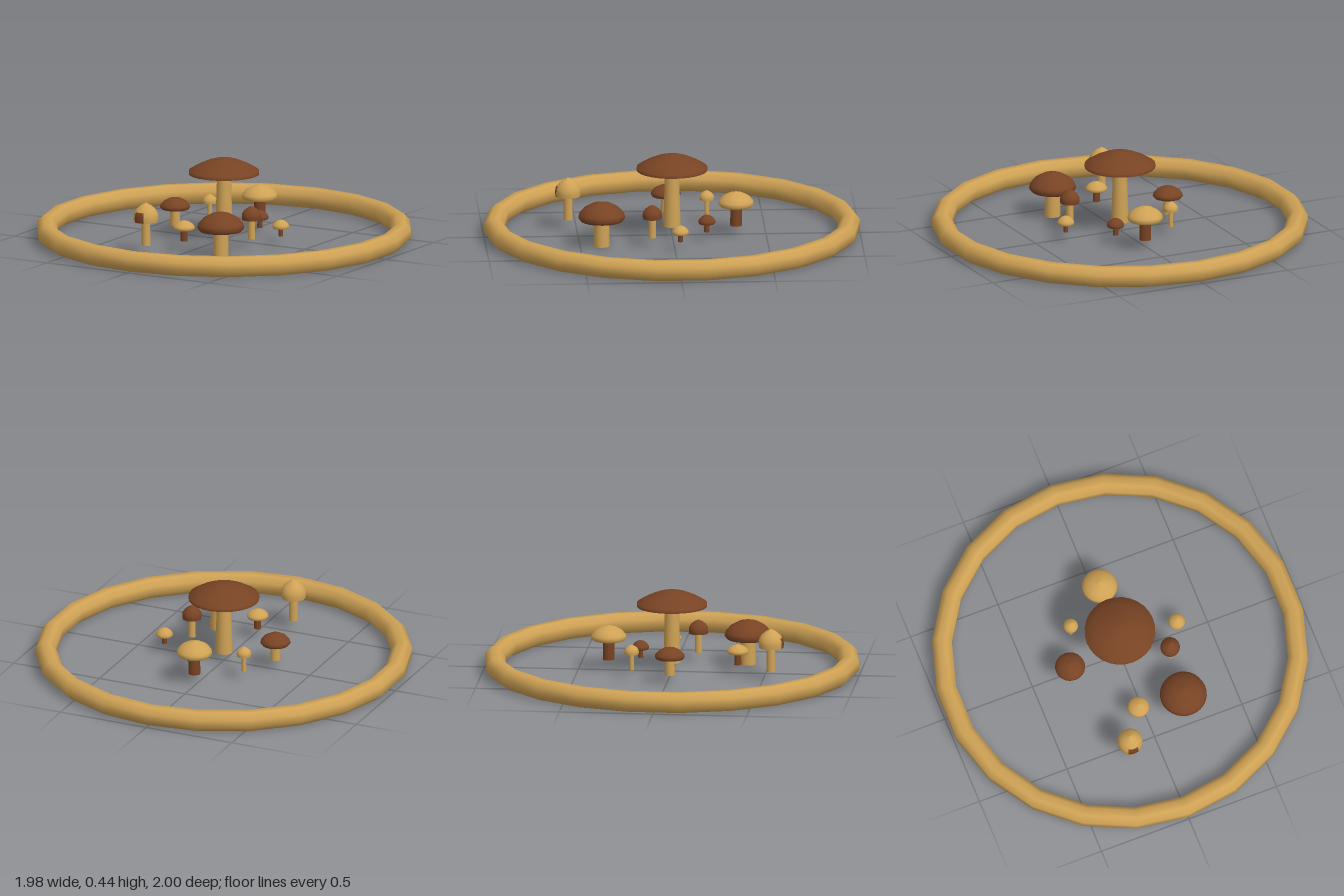
import * as THREE from 'three';
import { mergeVertices } from 'three/addons/utils/BufferGeometryUtils.js';

const tan = new THREE.MeshStandardMaterial({ color: 0xcfa255 });
tan.name = 'tan';
const brown = new THREE.MeshStandardMaterial({ color: 0x784324 });
brown.name = 'brown';

// Cap outlines as fractions of radius and height, rim to tip
const outlines = {
  broad: [[1, 0], [1, 0.2], [0.75, 0.52], [0.45, 0.8], [0.2, 0.95], [0, 1]],
  round: [[0.9, 0], [1, 0.16], [0.96, 0.36], [0.76, 0.64], [0.42, 0.87], [0, 1]],
  bell: [[0.96, 0], [1, 0.2], [0.97, 0.42], [0.76, 0.66], [0.4, 0.86], [0, 1]],
};

// x, z, cap radius, cap bottom, cap top, stem radius, stem base, outline, cap, stem
const mushrooms = [
  ['central', 0, 0, 0.188, 0.357, 0.445, 0.037, 0.05, 'broad', brown, tan],
  ['large', 0.21, 0.385, 0.125, 0.14, 0.245, 0.04, 0.0, 'round', brown, tan],
  ['rear', 0.018, -0.34, 0.095, 0.16, 0.24, 0.03, 0.053, 'round', tan, brown],
  ['side', -0.292, 0.018, 0.08, 0.138, 0.203, 0.026, 0.05, 'round', brown, tan],
  ['spotted', -0.158, 0.545, 0.067, 0.18, 0.283, 0.023, 0.05, 'bell', tan, tan],
  ['slender', 0.24, 0.117, 0.052, 0.155, 0.23, 0.019, 0.05, 'bell', brown, tan],
  ['low', -0.035, 0.355, 0.058, 0.115, 0.165, 0.018, 0.053, 'round', tan, brown],
  ['hidden', 0.115, -0.18, 0.046, 0.09, 0.14, 0.014, 0.045, 'round', brown, brown],
  ['outer', 0.335, -0.028, 0.045, 0.092, 0.14, 0.012, 0.05, 'round', tan, brown],
  ['tiny', -0.205, -0.195, 0.039, 0.138, 0.19, 0.012, 0.05, 'bell', tan, tan],
];

function lathe(name, points, material, segments = 28, start = 0, sweep = Math.PI * 2) {
  const profile = points.map(([r, y]) => new THREE.Vector2(r, y));
  const mesh = new THREE.Mesh(new THREE.LatheGeometry(profile, segments, start, sweep), material);
  mesh.name = name;
  return mesh;
}

function makeMushroom([name, x, z, r, y0, y1, stemR, base, outline, capMat, stemMat]) {
  const group = new THREE.Group();
  group.name = name + 'Mushroom';
  const h = y1 - y0;
  const dome = outlines[outline].map(([u, v]) => [u * r, y0 + v * h]);
  group.add(lathe('cap', dome, capMat));
  group.add(lathe('capUnderside', [[0, y0], dome[0]], capMat));

  const stemTop = y0 + h * 0.15;
  const stem = new THREE.Mesh(
    new THREE.CylinderGeometry(stemR, stemR * (name === 'central' ? 1.25 : 1.05), stemTop - base, 16), stemMat);
  stem.name = 'stem';
  stem.position.y = (stemTop + base) / 2;
  group.add(stem);

  // Brown patch hugging the front of one cap
  if (name === 'spotted') {
    const patch = dome.slice(0, 4).map(([pr, py]) => [pr + 0.002, py]);
    patch[3] = [(dome[2][0] + dome[3][0]) / 2 + 0.002, (dome[2][1] + dome[3][1]) / 2];
    group.add(lathe('capPatch', patch, brown, 6, -0.5, 0.85));
  }
  group.position.set(x, 0, z);
  return group;
}

// Ring with an octagonal section, smoothed over its seams
function makeRing() {
  const half = 0.0525;
  const tube = half / Math.cos(Math.PI / 8);
  const section = [];
  for (let i = 0; i <= 8; i++) {
    const a = (i + 0.5) * Math.PI / 4;
    section.push(new THREE.Vector2(1 - half + tube * Math.cos(a), half + tube * Math.sin(a)));
  }
  let geometry = new THREE.LatheGeometry(section, 22);
  geometry.deleteAttribute('uv');
  geometry.deleteAttribute('normal');
  geometry = mergeVertices(geometry, 1e-4);
  geometry.computeVertexNormals();
  const ring = new THREE.Mesh(geometry, tan);
  ring.name = 'ring';
  return ring;
}

export function createModel() {
  const model = new THREE.Group();
  model.name = 'mushroomRing';
  model.add(makeRing());
  mushrooms.forEach((m) => model.add(makeMushroom(m)));
  return model;
}
